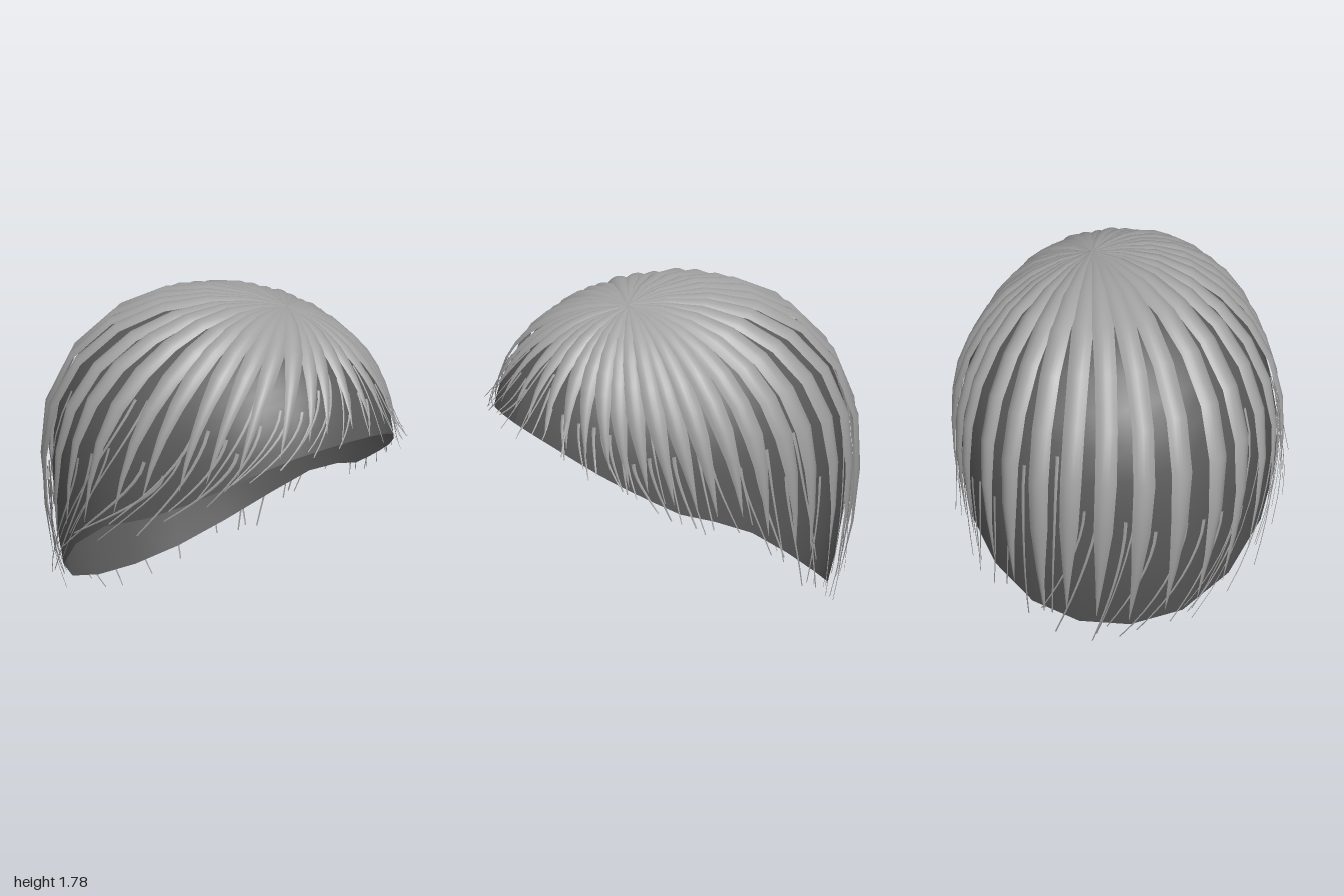
import * as THREE from 'three';

const CROWN = { x: 0.16, z: 0.27 }, MID = 0.9;
// height of the hairline against z, back to front
const RIM = [[-0.9, 0.06], [-0.84, 0.09], [-0.6, 0.3], [-0.4, 0.46], [-0.2, 0.6], [0, 0.68],
  [0.2, 0.73], [0.4, 0.83], [0.6, 0.94], [0.82, 1.08], [0.95, 1.15]];

let seed = 7;
const rand = (a = 0, b = 1) => {
  seed = (seed * 16807) % 2147483647;
  return a + (b - a) * seed / 2147483647;
};

function rimHeight(z) {
  for (let i = 1; i < RIM.length; i++) {
    const [z0, y0] = RIM[i - 1], [z1, y1] = RIM[i];
    if (z <= z1) return y0 + (y1 - y0) * Math.max(0, (z - z0) / (z1 - z0));
  }
  return 1.15;
}

// head form: a squarish ellipsoid, longer downwards and narrower in front
function field(p) {
  const y = p.y - MID;
  const halfWidth = 0.84 - 0.09 * THREE.MathUtils.smoothstep(p.z, -0.2, 0.5);
  return Math.abs(p.x / halfWidth) ** 2.2 + Math.abs(y / (y > 0 ? 0.835 : 1.5)) ** 2.2
    + Math.abs(p.z / 0.945) ** 2.2;
}

// point on the head at heading a and angle th from straight up
function onHead(a, th) {
  const d = new THREE.Vector3(Math.sin(a) * Math.sin(th), Math.cos(th), Math.cos(a) * Math.sin(th));
  const o = new THREE.Vector3(CROWN.x, MID, CROWN.z);
  let lo = 0, hi = 2.5;
  for (let i = 0; i < 30; i++) {
    const m = (lo + hi) / 2;
    if (field(o.clone().addScaledVector(d, m)) < 1) lo = m; else hi = m;
  }
  return o.addScaledVector(d, lo);
}

// angle at which a heading meets the hairline
function rimAngle(a) {
  let lo = 0.3, hi = 2.8;
  for (let i = 0; i < 25; i++) {
    const m = (lo + hi) / 2, p = onHead(a, m);
    if (p.y > rimHeight(p.z)) lo = m; else hi = m;
  }
  return lo;
}

function normalAt(p) {
  const e = 0.002, n = new THREE.Vector3();
  for (const k of ['x', 'y', 'z']) {
    const q = p.clone(), r = p.clone();
    q[k] += e;
    r[k] -= e;
    n[k] = field(q) - field(r);
  }
  return n.normalize();
}

// surface from a rows x cols grid of points
function gridGeometry(rows) {
  const cols = rows[0].length, index = [];
  for (let i = 0; i < rows.length - 1; i++) {
    for (let j = 0; j < cols - 1; j++) {
      const a = i * cols + j, b = a + cols;
      index.push(a, b, a + 1, b, b + 1, a + 1);
    }
  }
  const g = new THREE.BufferGeometry().setFromPoints(rows.flat());
  g.setIndex(index);
  g.computeVertexNormals();
  return g;
}

// arched, tapering lock of hair lying along the head
function lock({ a, drift, t0, t1, segments, sides, width, lift, arch }) {
  const end = rimAngle(a + drift), spine = [];
  for (let i = 0; i <= segments; i++) {
    const u = i / segments;
    spine.push(onHead(a + drift * u ** 1.6, end * (t0 + (t1 - t0) * u)));
  }
  const rows = spine.map((p, i) => {
    const u = i / segments, n = normalAt(p), w = width(u);
    const along = spine[Math.min(i + 1, segments)].clone().sub(spine[Math.max(i - 1, 0)]);
    const side = along.cross(n).normalize().negate();
    const row = [];
    for (let j = 0; j <= sides; j++) {
      const s = j / sides * 2 - 1;
      const q = p.clone().addScaledVector(side, s * w)
        .addScaledVector(n, lift(u) + arch * (1 - s * s) * Math.min(1, w / 0.05));
      q.y = Math.max(q.y, 0);
      row.push(q);
    }
    return row;
  });
  return gridGeometry(rows);
}

export function createModel() {
  const model = new THREE.Group();
  const capMaterial = new THREE.MeshStandardMaterial({ color: 0x5c5c5c, side: THREE.DoubleSide });
  capMaterial.name = 'dark grey cap';
  const hairMaterial = new THREE.MeshStandardMaterial({ color: 0xa2a2a2, side: THREE.DoubleSide });
  hairMaterial.name = 'light grey hair';

  // scalp cap, open below, with a slightly angular hairline
  const capRows = [];
  const headings = Array.from({ length: 27 }, (_, j) => j / 26 * Math.PI * 2);
  const ends = headings.map(rimAngle);
  for (let i = 0; i <= 14; i++) {
    capRows.push(headings.map((a, j) => onHead(a, ends[j] * i / 14)));
  }
  const cap = new THREE.Mesh(gridGeometry(capRows), capMaterial);
  cap.name = 'scalpCap';
  model.add(cap);

  // broad locks fanning out from the crown, those at the sides swept back
  const locks = new THREE.Group();
  locks.name = 'locks';
  const COUNT = 36;
  for (let i = 0; i < COUNT; i++) {
    const a = (i + rand(-0.12, 0.12)) / COUNT * Math.PI * 2;
    const back = (1 - Math.cos(a)) / 2;
    const full = 0.05 + 0.008 * back, taper = 0.45 + 0.3 * back;
    const raise = 0.014 + 0.02 * back + 0.004 * (i % 3);
    const mesh = new THREE.Mesh(lock({
      a, drift: 0.25 * Math.sin(a) + rand(-0.06, 0), t0: 0.003, t1: rand(0.92, 0.97) + 0.02 * back,
      segments: 9, sides: 6, arch: 0.022,
      width: u => full * Math.min(1, 0.35 + u * 3) * Math.min(1, Math.max(0.02, (1 - u) / (1 - taper))),
      lift: u => raise * Math.min(1, 0.3 + u * 2),
    }), hairMaterial);
    mesh.name = 'lock';
    locks.add(mesh);
  }
  model.add(locks);

  // stray hairs swirling across the cap and hanging past the hairline
  const wisps = new THREE.Group();
  wisps.name = 'strayHairs';
  const STRAYS = 72;
  for (let i = 0; i < STRAYS; i++) {
    const a = (i + rand(-0.4, 0.4)) / STRAYS * Math.PI * 2;
    const out = rand(0.01, 0.06), thick = rand(0.007, 0.011);
    const mesh = new THREE.Mesh(lock({
      a, drift: 0.3 * Math.sin(a) + rand(-0.2, -0.04), t0: rand(0.55, 0.8), t1: rand(0.97, 1.05),
      segments: 8, sides: 2, arch: 0.03,
      width: u => thick * (1 - 0.65 * u),
      lift: u => 0.014 + out * u ** 3,
    }), hairMaterial);
    mesh.name = 'strayHair';
    wisps.add(mesh);
  }
  model.add(wisps);
  return model;
}
